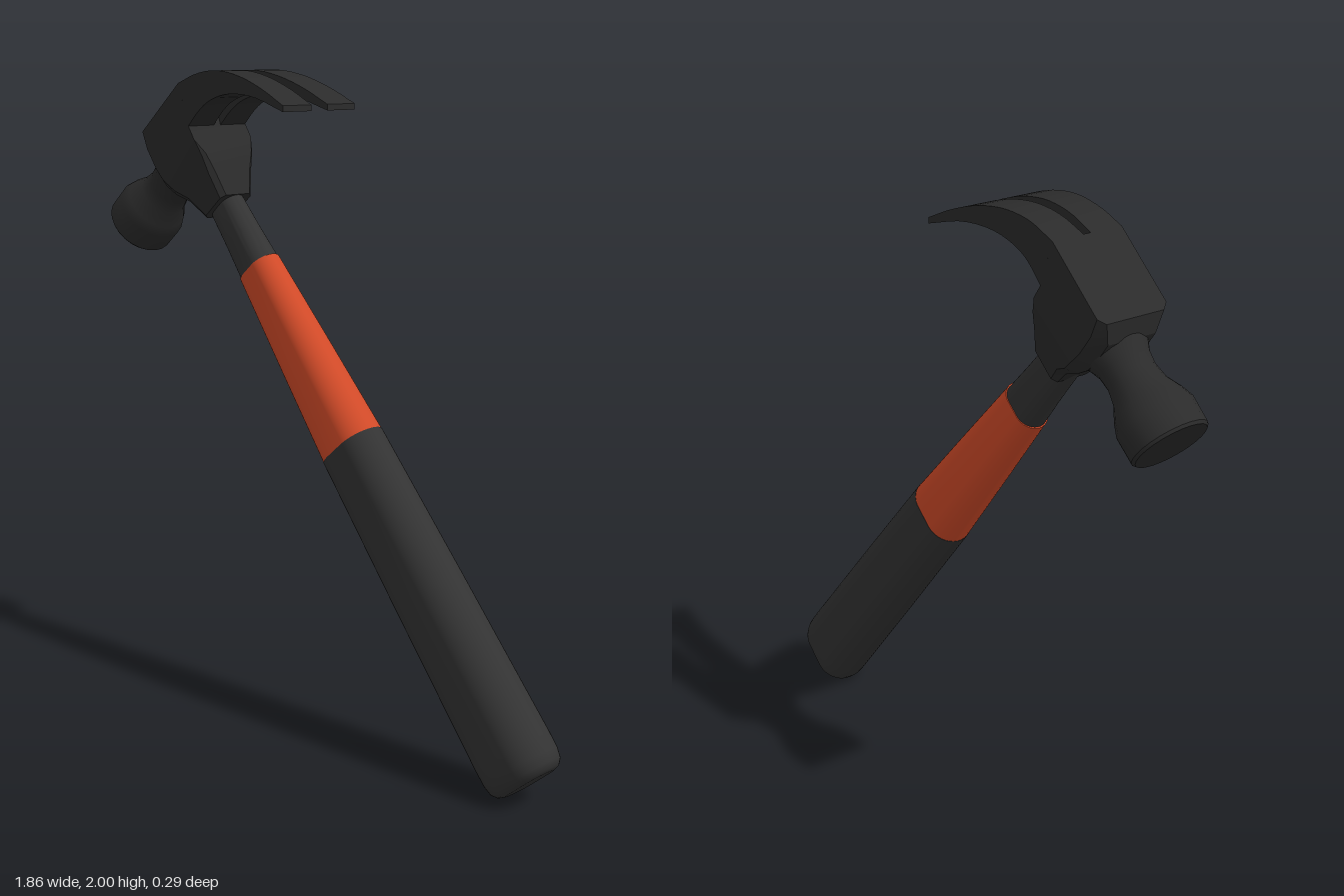
import * as THREE from 'three';
import { toCreasedNormals } from 'three/addons/utils/BufferGeometryUtils.js';

const TILT = THREE.MathUtils.degToRad(40);
const grip = new THREE.MeshStandardMaterial({ color: 0x333333 });
const steel = new THREE.MeshStandardMaterial({ color: 0x2b2b2b });
const orange = new THREE.MeshStandardMaterial({ color: 0xd04a28 });

// Closed solid through a list of equal-length rings of [x, y, z]
function loft(rings, crease) {
  const n = rings[0].length, pos = [];
  const tri = (...p) => p.forEach(v => pos.push(...v));
  for (let i = 0; i < rings.length - 1; i++) {
    for (let j = 0; j < n; j++) {
      const k = (j + 1) % n;
      const a = rings[i][j], b = rings[i][k], c = rings[i + 1][k], d = rings[i + 1][j];
      tri(a, b, c);
      tri(a, c, d);
    }
  }
  const middle = r => [0, 1, 2].map(q => r.reduce((sum, p) => sum + p[q], 0) / n);
  const first = rings[0], last = rings[rings.length - 1];
  const m0 = middle(first), m1 = middle(last);
  for (let j = 0; j < n; j++) {
    const k = (j + 1) % n;
    tri(m0, first[k], first[j]);
    tri(m1, last[j], last[k]);
  }
  const g = new THREE.BufferGeometry();
  g.setAttribute('position', new THREE.Float32BufferAttribute(pos, 3));
  return toCreasedNormals(g, crease);
}

function part(parent, name, geometry, material) {
  const mesh = new THREE.Mesh(geometry, material);
  mesh.name = name;
  parent.add(mesh);
  return mesh;
}

// Stadium-shaped handle section at height y
function stadium([y, hx, hz], n = 36) {
  return Array.from({ length: n }, (_, i) => {
    const a = (i + 0.5) / n * Math.PI * 2;
    return [Math.sign(Math.cos(a)) * (hx - hz) + hz * Math.cos(a), y, -hz * Math.sin(a)];
  });
}

// Rectangular head section with its corners cut on the poll side (cp) and claw side (cc)
function block([y, x0, x1, hz, cp, cc]) {
  return [
    [x1, y, hz - cc], [x1, y, cc - hz], [x1 - cc, y, -hz], [x0 + cp, y, -hz],
    [x0, y, cp - hz], [x0, y, hz - cp], [x0 + cp, y, hz], [x1 - cc, y, hz],
  ];
}

// One prong: four-cornered sections swept between the upper and lower curves
function prong(side) {
  const curve = pts => new THREE.CatmullRomCurve3(pts.map(p => new THREE.Vector3(p[0], p[1], 0)));
  const top = curve([[-0.51, 1.96], [-0.42, 1.99], [-0.32, 2], [-0.21, 1.985], [-0.1, 1.95], [0, 1.905]]);
  const low = curve([[-0.465, 1.83], [-0.42, 1.873], [-0.37, 1.905], [-0.28, 1.93], [-0.15, 1.927], [0, 1.887]]);
  const clamp = THREE.MathUtils.clamp;
  const rings = [];
  for (let i = 0; i <= 18; i++) {
    const edge = c => {
      const p = c.getPoint(i / 18);
      const inner = 0.012 + 0.02 * clamp((p.x + 0.5) / 0.5, 0, 1);
      const outer = 0.115 + 0.028 * clamp((p.x + 0.4) / 0.4, 0, 1);
      const z = [side * inner, side * outer].sort((a, b) => a - b);
      return z.map(v => [p.x, p.y, v]);
    };
    const [a, b] = edge(top), [d, c] = edge(low);
    rings.push([a, b, c, d]);
  }
  return loft(rings, 0.6);
}

export function createModel() {
  const model = new THREE.Group();
  model.name = 'clawHammer';

  // Handle and head body share a frame leaning along the handle
  const tool = new THREE.Group();
  tool.name = 'leaningBody';
  tool.position.set(0.852, 0.067, 0);
  tool.rotation.z = TILT;
  model.add(tool);

  // Handle: rubber grip, coloured shaft, dark neck
  part(tool, 'grip', loft([
    [0, 0.088, 0.05], [0.006, 0.108, 0.07], [0.022, 0.122, 0.083], [0.05, 0.128, 0.089],
    [0.1, 0.129, 0.09], [0.6, 0.121, 0.085], [1.1, 0.111, 0.077],
  ].map(r => stadium(r)), 0.8), grip);
  part(tool, 'shaft', loft([
    [1.1, 0.11, 0.076], [1.42, 0.094, 0.065], [1.743, 0.077, 0.052],
  ].map(r => stadium(r)), 0.8), orange);
  part(tool, 'neck', loft([
    [1.743, 0.073, 0.05], [1.86, 0.066, 0.046], [2.02, 0.06, 0.042],
  ].map(r => stadium(r)), 0.8), grip);

  // Head body, narrowing towards the handle
  part(tool, 'headBody', loft([
    [1.976, -0.056, 0.064, 0.062, 0.015, 0.015],
    [2.05, -0.07, 0.094, 0.086, 0.02, 0.015],
    [2.1, -0.1, 0.115, 0.102, 0.025, 0.01],
    [2.15, -0.12, 0.12, 0.115, 0.035, 0],
    [2.197, -0.125, 0.125, 0.115, 0.035, 0],
    [2.27, -0.12, 0.152, 0.115, 0.035, 0],
    [2.326, -0.088, 0.174, 0.115, 0.02, 0],
  ].map(block), 0.35), steel);

  // Striking poll: waisted round bell with a flat face
  const profile = [
    [0, 0.4], [0.104, 0.4], [0.111, 0.392], [0.112, 0.315], [0.1, 0.28],
    [0.078, 0.235], [0.07, 0.19], [0.074, 0.15], [0.088, 0.115], [0.1, 0.07],
  ].map(([r, h]) => new THREE.Vector2(r, h)).reverse();
  const poll = part(tool, 'strikingFace',
    toCreasedNormals(new THREE.LatheGeometry(profile, 24), 0.6), steel);
  poll.rotation.z = Math.PI / 2;
  poll.position.y = 2.196;

  // Split claw
  part(model, 'leftProng', prong(1), steel);
  part(model, 'rightProng', prong(-1), steel);

  return model;
}
